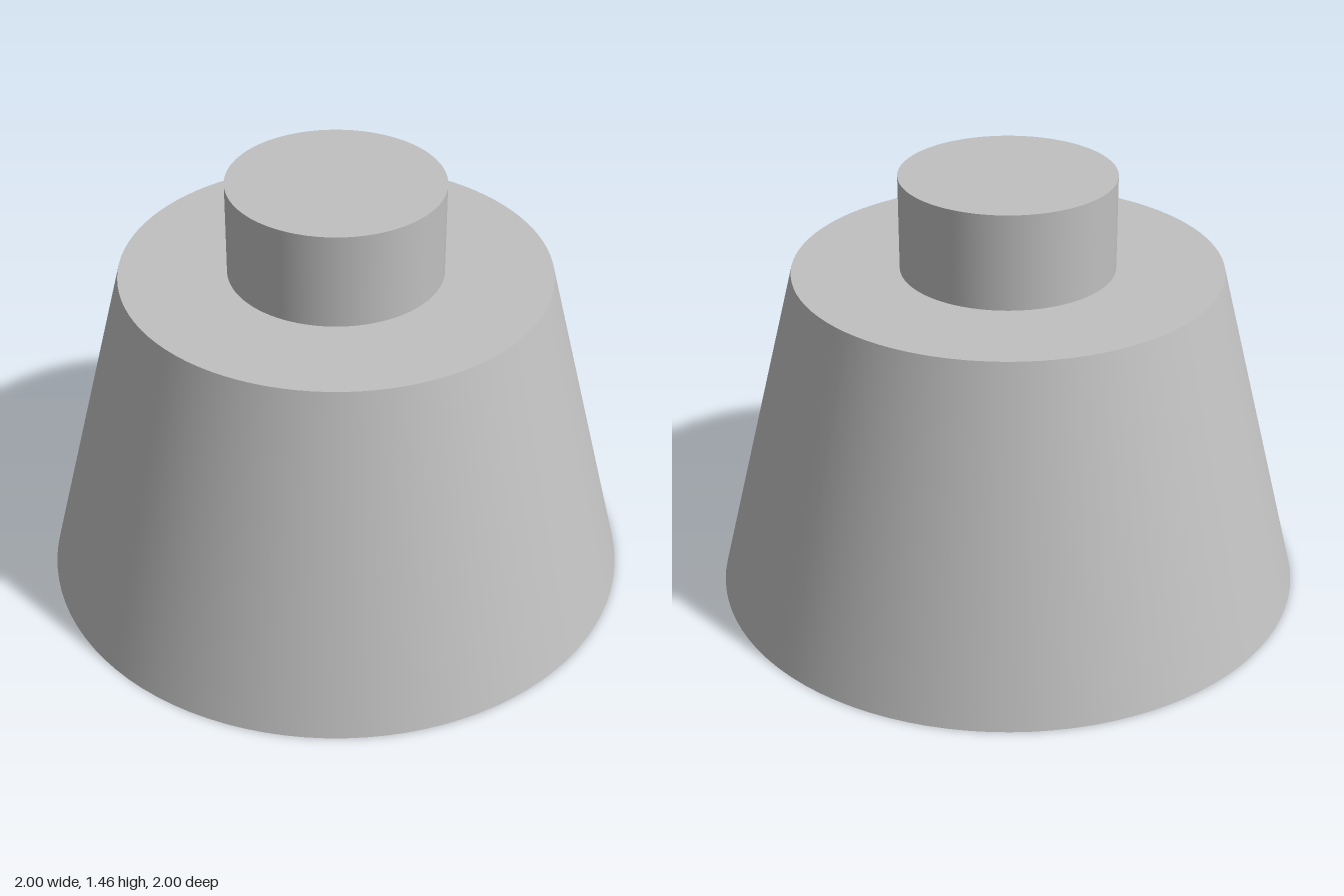
import * as THREE from 'three';

export function createModel() {
  const model = new THREE.Group();
  const grey = new THREE.MeshStandardMaterial({ color: 0xc0c0c0 });
  grey.name = 'light grey';

  // Round solid standing on the given height
  const addRound = (name, topRadius, bottomRadius, bottomY, topY) => {
    const height = topY - bottomY;
    const mesh = new THREE.Mesh(new THREE.CylinderGeometry(topRadius, bottomRadius, height, 96), grey);
    mesh.name = name;
    mesh.position.y = bottomY + height / 2;
    model.add(mesh);
  };

  addRound('taperedBody', 0.714, 1, 0, 1.143); // wide cone frustum
  addRound('topKnob', 0.357, 0.357, 1.143, 1.464); // short cylinder on top

  return model;
}
